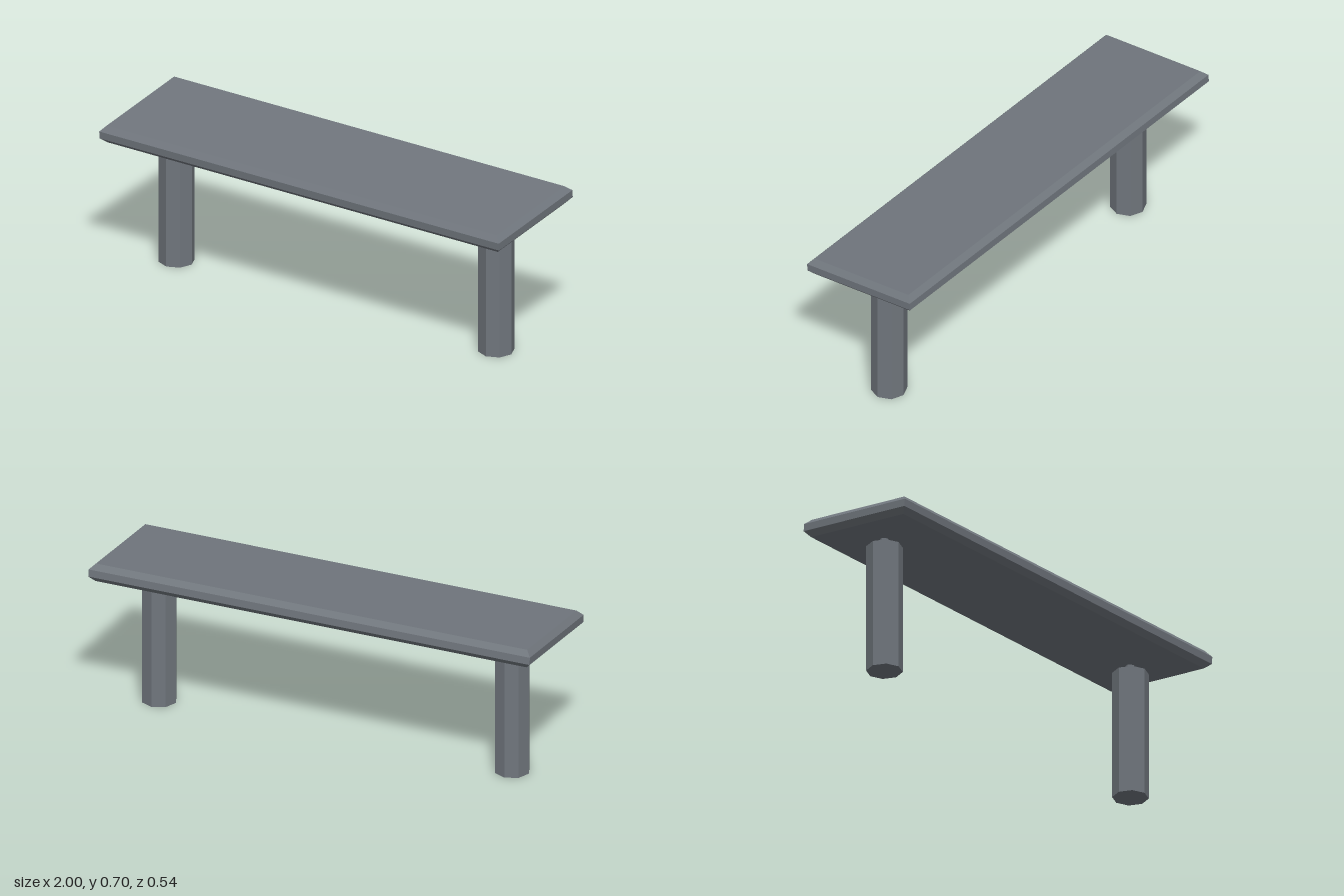
import * as THREE from 'three';

export function createModel() {
  const model = new THREE.Group();
  model.name = 'bench';
  const steel = new THREE.MeshStandardMaterial({ color: 0x70767d, flatShading: true });
  steel.name = 'slate grey';

  const add = (name, geometry, x, y, z) => {
    const mesh = new THREE.Mesh(geometry, steel);
    mesh.name = name;
    mesh.position.set(x, y, z);
    model.add(mesh);
    return mesh;
  };

  // Seat slab: a box in three bands, its top and bottom rims drawn in as bevels
  const bevel = 0.023, halfThick = 0.039, halfBand = 0.016;
  const slab = new THREE.BoxGeometry(2, halfThick * 2, 0.54, 1, 3, 1);
  const p = slab.attributes.position;
  for (let i = 0; i < p.count; i++) {
    const y = p.getY(i);
    if (Math.abs(y) > halfThick * 0.9) {
      p.setX(i, p.getX(i) - Math.sign(p.getX(i)) * bevel);
      p.setZ(i, p.getZ(i) - Math.sign(p.getZ(i)) * bevel);
    } else {
      p.setY(i, Math.sign(y) * halfBand);
    }
  }
  slab.computeVertexNormals();
  add('seat', slab, 0, 0.639, 0).rotation.x = 0.081; // leans down towards the front

  // Octagonal legs, each with a thin pin carrying the seat
  const legHeight = 0.566, pinHeight = 0.05;
  for (const [side, x] of [['left', 0.8], ['right', -0.8]]) {
    add(side + 'Leg', new THREE.CylinderGeometry(0.076, 0.076, legHeight, 8), x, legHeight / 2, -0.003);
    add(side + 'Pin', new THREE.CylinderGeometry(0.0185, 0.0185, pinHeight, 8), x, legHeight + pinHeight / 2, -0.003);
  }
  return model;
}
